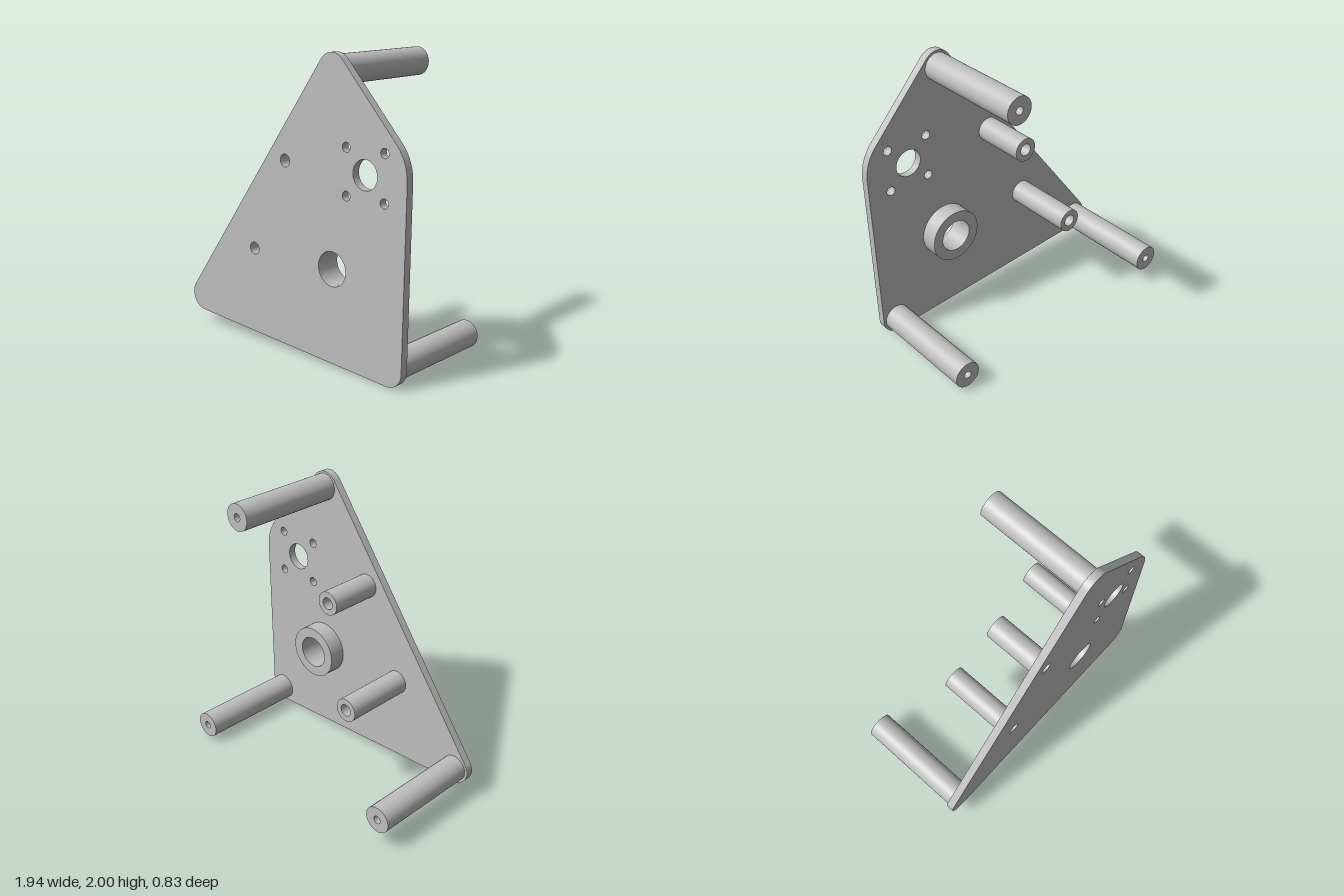
import * as THREE from 'three';
import { toCreasedNormals } from 'three/addons/utils/BufferGeometryUtils.js';

const BACK = 0.36, FRONT = 0.415; // z of the plate faces

// Outline wrapped tightly around circles [x, y, r] listed counter-clockwise
function wrapCircles(circles) {
  const n = circles.length;
  const normals = circles.map(([x, y, r], i) => {
    const [x2, y2, r2] = circles[(i + 1) % n];
    const dx = x2 - x, dy = y2 - y;
    return Math.atan2(dy, dx) - Math.acos((r - r2) / Math.hypot(dx, dy));
  });
  const shape = new THREE.Shape();
  circles.forEach(([x, y, r], i) => {
    shape.absarc(x, y, r, normals[(i + n - 1) % n], normals[i], false);
  });
  return shape;
}

export function createModel() {
  const model = new THREE.Group();
  const metal = new THREE.MeshStandardMaterial({ color: 0xbfbfbf });
  metal.name = 'grey metal';

  const add = (geometry, name) => {
    const mesh = new THREE.Mesh(toCreasedNormals(geometry, 0.5), metal);
    mesh.name = name;
    model.add(mesh);
    return mesh;
  };

  // Plate with rounded corners and drilled holes
  const shape = wrapCircles([
    [-0.861, 0.202, 0.111], [0.832, 0.112, 0.112],
    [0.647, 1.29, 0.318], [0.38, 1.89, 0.11],
  ]);
  const holes = [
    [-0.025, 1.29, 0.042], [-0.322, 0.653, 0.042],
    [0.38, 0.653, 0.114], [0.647, 1.29, 0.095],
  ];
  for (const x of [0.498, 0.797]) for (const y of [1.14, 1.44]) holes.push([x, y, 0.031]);
  for (const [x, y, r] of holes) {
    const hole = new THREE.Path();
    hole.absarc(x, y, r, 0, Math.PI * 2, true);
    shape.holes.push(hole);
  }
  const plate = new THREE.ExtrudeGeometry(shape, {
    depth: FRONT - BACK, bevelEnabled: false, curveSegments: 40,
  });
  add(plate, 'plate').position.z = BACK;

  // Bored cylinder standing out from the back; floor > 0 makes the bore blind
  const post = (name, x, y, radius, bore, endZ, floor = 0) => {
    const h = BACK - endZ;
    const profile = [[radius, 0], [radius, h], [bore, h], [bore, floor]];
    if (floor > 0) profile.push([0, floor]);
    const points = profile.map(p => new THREE.Vector2(...p));
    const mesh = add(new THREE.LatheGeometry(points, 48), name);
    mesh.rotation.x = -Math.PI / 2;
    mesh.position.set(x, y, BACK);
  };

  // Long corner standoffs
  post('topStandoff', 0.38, 1.892, 0.093, 0.027, -0.415, 0.45);
  post('lowerLeftStandoff', 0.832, 0.113, 0.093, 0.027, -0.415, 0.45);
  post('lowerRightStandoff', -0.861, 0.202, 0.093, 0.027, -0.415, 0.45);

  // Shorter tubes and the bearing collar, open through the plate
  post('upperTube', -0.025, 1.29, 0.083, 0.042, -0.018);
  post('lowerTube', -0.322, 0.653, 0.083, 0.042, -0.147);
  post('bearingCollar', 0.38, 0.653, 0.188, 0.114, 0.24);

  return model;
}
